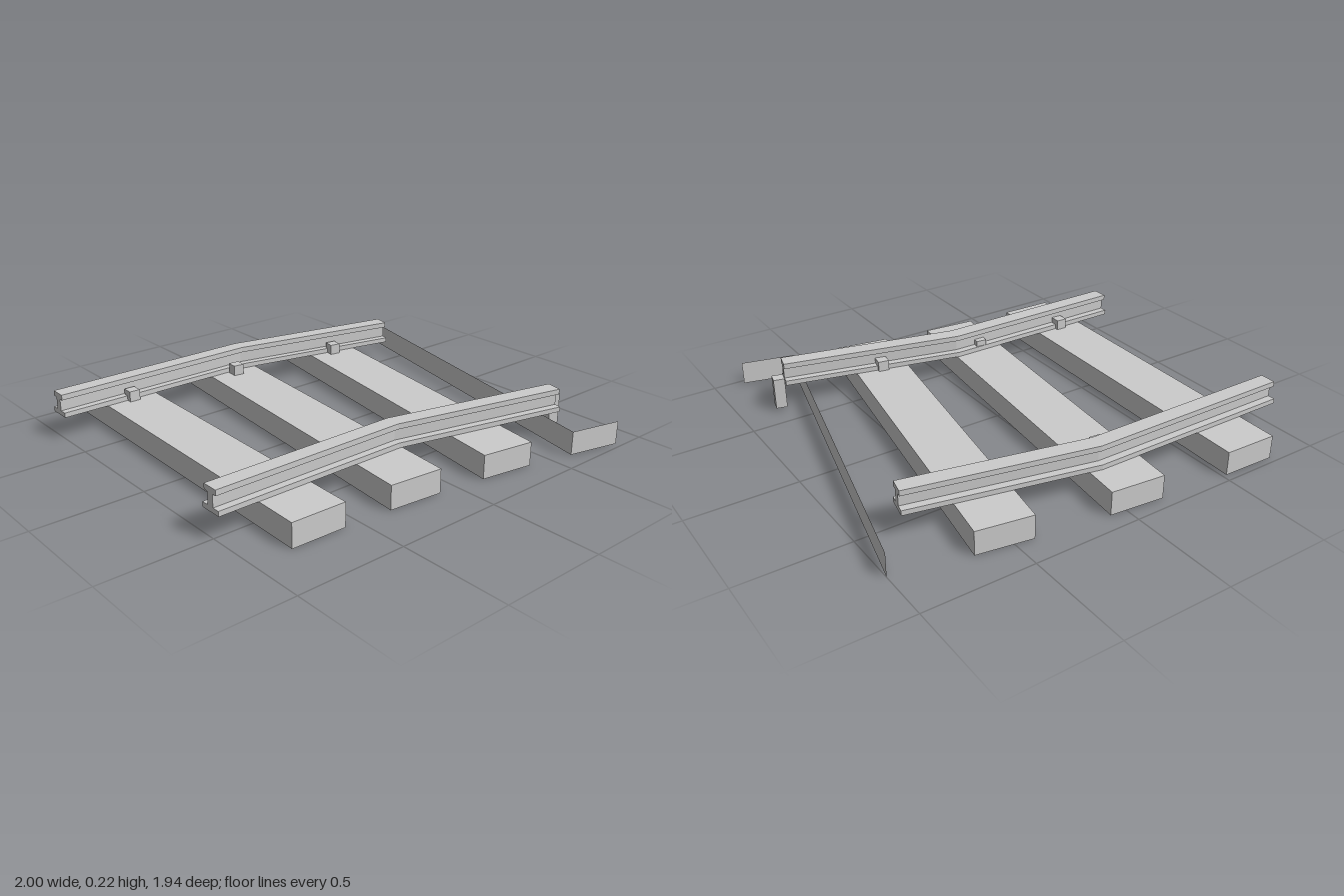
import * as THREE from 'three';

const material = new THREE.MeshStandardMaterial({ color: 0xcccccc, flatShading: true, side: THREE.DoubleSide });

// Box keeping only the listed faces: 0 +x, 1 -x, 2 +y, 3 -y, 4 +z, 5 -z
function shell(w, h, d, faces) {
  const geo = new THREE.BoxGeometry(w, h, d);
  const index = Array.from(geo.index.array);
  geo.setIndex(faces.flatMap((f) => index.slice(f * 6, f * 6 + 6)));
  geo.clearGroups();
  return geo;
}

// I-shaped rail section swept along a bent path, mitred at the bend
function railGeometry(path) {
  const half = [[0.052, 0.11], [0.052, 0.133], [0.017, 0.133], [0.017, 0.19], [0.038, 0.19], [0.038, 0.215]];
  const outline = [...half, ...half.map(([x, y]) => [-x, y]).reverse()];
  const shape = new THREE.Shape(outline.map(([x, y]) => new THREE.Vector2(x, y)));
  const steps = path.length - 1;
  const geo = new THREE.ExtrudeGeometry(shape, { depth: 1, steps, bevelEnabled: false });

  const points = path.map(([x, z]) => new THREE.Vector2(x, z));
  const dirs = points.slice(1).map((p, i) => p.clone().sub(points[i]).normalize());
  const sides = points.map((p, i) => {
    const a = dirs[Math.max(i - 1, 0)];
    const b = dirs[Math.min(i, steps - 1)];
    const mid = a.clone().add(b).normalize();
    return new THREE.Vector2(mid.y, -mid.x).divideScalar(mid.dot(a));
  });

  const pos = geo.attributes.position;
  for (let i = 0; i < pos.count; i++) {
    const k = Math.round(pos.getZ(i) * steps);
    const across = pos.getX(i);
    pos.setX(i, points[k].x + sides[k].x * across);
    pos.setZ(i, points[k].y + sides[k].y * across);
  }
  geo.computeVertexNormals();
  return geo;
}

export function createModel() {
  const model = new THREE.Group();
  const add = (name, geo, x = 0, y = 0, z = 0, degrees = 0) => {
    const mesh = new THREE.Mesh(geo, material);
    mesh.name = name;
    mesh.position.set(x, y, z);
    mesh.rotation.y = -THREE.MathUtils.degToRad(degrees);
    model.add(mesh);
  };
  const openBelow = [0, 1, 2, 4, 5];

  // Sleepers fan out along the curve and are hollow underneath
  const sleeper = shell(0.255, 0.11, 1.718, openBelow);
  [[-0.672, -0.107, 1.57], [-0.135, -0.074, 5.5], [0.401, -0.004, 9.25]].forEach(([x, z, a], i) =>
    add(`sleeper${i + 1}`, sleeper, x, 0.055, z, a));

  // Last sleeper: only one long side and the front end remain
  add('partialSleeper', shell(0.255, 0.11, 1.72, [1, 4]), 0.929, 0.055, 0.106, 13.1);

  // Rails
  add('backRail', railGeometry([[-1, -0.716], [-0.005, -0.716], [0.829, -0.542]]));
  add('frontRail', railGeometry([[-1, 0.49], [-0.075, 0.49], [0.76, 0.683]]));

  // Spikes beside the inner rail edges, reaching down inside the sleepers
  const spike = shell(0.052, 0.148, 0.052, openBelow);
  [
    [-0.655, -0.663, 1.57], [-0.083, -0.627, 5.5], [0.487, -0.552, 9.25],
    [-0.69, 0.445, 1.57], [-0.205, 0.468, 5.5], [0.312, 0.537, 9.25], [0.805, 0.64, 13.1],
  ].forEach(([x, z, a], i) => add(`spike${i + 1}`, spike, x, 0.086, z, a));

  return model;
}
